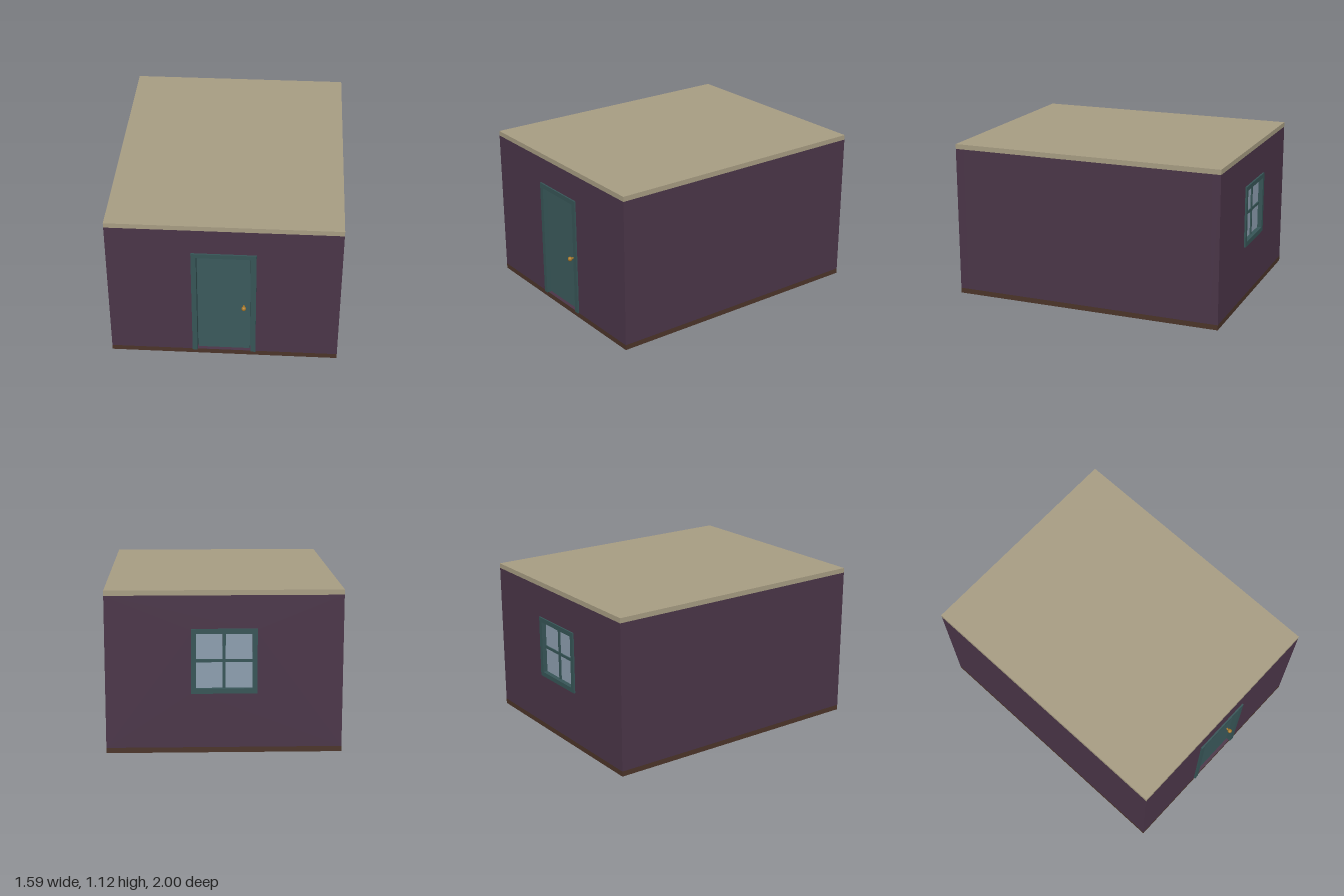
import * as THREE from 'three';

const mat = (color) => new THREE.MeshStandardMaterial({ color });
const wallMat = mat(0x4a3548), roofMat = mat(0xa69c82), floorMat = mat(0x4b3429);
const frameMat = mat(0x365456), leafMat = mat(0x3a595b), paneMat = mat(0x8c9dae), knobMat = mat(0xa87828);

// Overall shell: half width, front and back planes, floor top and ceiling heights
const W = 0.797, FRONT = 0.977, BACK = -0.988, FLOOR = 0.037, CEIL = 1.08, TOP = 1.115, T = 0.06;

// Box given by its lower and upper corners
function block(parent, name, material, [x0, y0, z0], [x1, y1, z1]) {
  const mesh = new THREE.Mesh(new THREE.BoxGeometry(x1 - x0, y1 - y0, z1 - z0), material);
  mesh.position.set((x0 + x1) / 2, (y0 + y1) / 2, (z0 + z1) / 2);
  mesh.name = name;
  parent.add(mesh);
  return mesh;
}

function rectPoints(x0, y0, x1, y1) {
  return [[x0, y0], [x1, y0], [x1, y1], [x0, y1]].map(([x, y]) => new THREE.Vector2(x, y));
}

// End wall with a rectangular opening
function endWall(parent, name, z, [x0, y0, x1, y1]) {
  const shape = new THREE.Shape(rectPoints(-W, FLOOR, W, CEIL));
  shape.holes.push(new THREE.Path(rectPoints(x0, y0, x1, y1).reverse()));
  const geo = new THREE.ExtrudeGeometry(shape, { depth: T, bevelEnabled: false });
  const mesh = new THREE.Mesh(geo, wallMat);
  mesh.position.z = z;
  mesh.name = name;
  parent.add(mesh);
}

function buildDoor() {
  const door = new THREE.Group();
  door.name = 'door';
  const z0 = FRONT - T, z1 = 0.988, top = 0.893;
  for (const s of [-1, 1]) {
    const xs = [s * 0.187, s * 0.222].sort((a, b) => a - b);
    block(door, 'doorJamb', frameMat, [xs[0], FLOOR, z0], [xs[1], 0.86, z1]);
  }
  block(door, 'doorHeader', frameMat, [-0.222, 0.86, z0], [0.222, top, z1]);
  // stop behind the leaf closes the gap around it
  block(door, 'doorStop', frameMat, [-0.187, FLOOR, z0], [0.187, 0.86, z0 + 0.01]);
  block(door, 'doorLeaf', leafMat, [-0.181, FLOOR + 0.004, z0 + 0.01], [0.181, 0.853, 0.955]);

  // knob on a short stem
  const stem = new THREE.Mesh(new THREE.CylinderGeometry(0.007, 0.007, 0.03, 12), knobMat);
  stem.rotation.x = Math.PI / 2;
  stem.position.set(0.138, 0.43, 0.967);
  stem.name = 'knobStem';
  const knob = new THREE.Mesh(new THREE.SphereGeometry(0.016, 20, 14), knobMat);
  knob.position.set(0.138, 0.43, 0.984);
  knob.name = 'doorKnob';
  door.add(stem, knob);
  return door;
}

function buildWindow() {
  const win = new THREE.Group();
  win.name = 'window';
  const z0 = -1, z1 = BACK + T, x = 0.222, y0 = 0.413, y1 = 0.855, f = 0.033;
  for (const s of [-1, 1]) {
    const xs = [s * (x - f), s * x].sort((a, b) => a - b);
    block(win, 'windowJamb', frameMat, [xs[0], y0 + f, z0], [xs[1], y1 - f, z1]);
  }
  block(win, 'windowSill', frameMat, [-x, y0, z0], [x, y0 + f, z1]);
  block(win, 'windowHeader', frameMat, [-x, y1 - f, z0], [x, y1, z1]);
  // cross bars in front of the pane
  const mid = (y0 + y1) / 2, b = 0.01;
  block(win, 'verticalBar', frameMat, [-b, y0 + f, -0.976], [b, y1 - f, -0.952]);
  block(win, 'horizontalBar', frameMat, [-x + f, mid - b, -0.975], [x - f, mid + b, -0.953]);
  block(win, 'windowPane', paneMat, [-x + f, y0 + f, -0.967], [x - f, y1 - f, -0.96]);
  return win;
}

export function createModel() {
  const room = new THREE.Group();
  room.name = 'room';
  block(room, 'floor', floorMat, [-W, 0, BACK], [W, FLOOR, FRONT]);
  block(room, 'roof', roofMat, [-W, CEIL, BACK], [W, TOP, FRONT]);
  // side walls fit between the end walls
  block(room, 'leftWall', wallMat, [W - T, FLOOR, BACK + T], [W, CEIL, FRONT - T]);
  block(room, 'rightWall', wallMat, [-W, FLOOR, BACK + T], [-W + T, CEIL, FRONT - T]);
  endWall(room, 'frontWall', FRONT - T, [-0.21, FLOOR + 0.001, 0.21, 0.88]);
  endWall(room, 'backWall', BACK, [-0.21, 0.425, 0.21, 0.843]);
  room.add(buildDoor(), buildWindow());
  return room;
}
